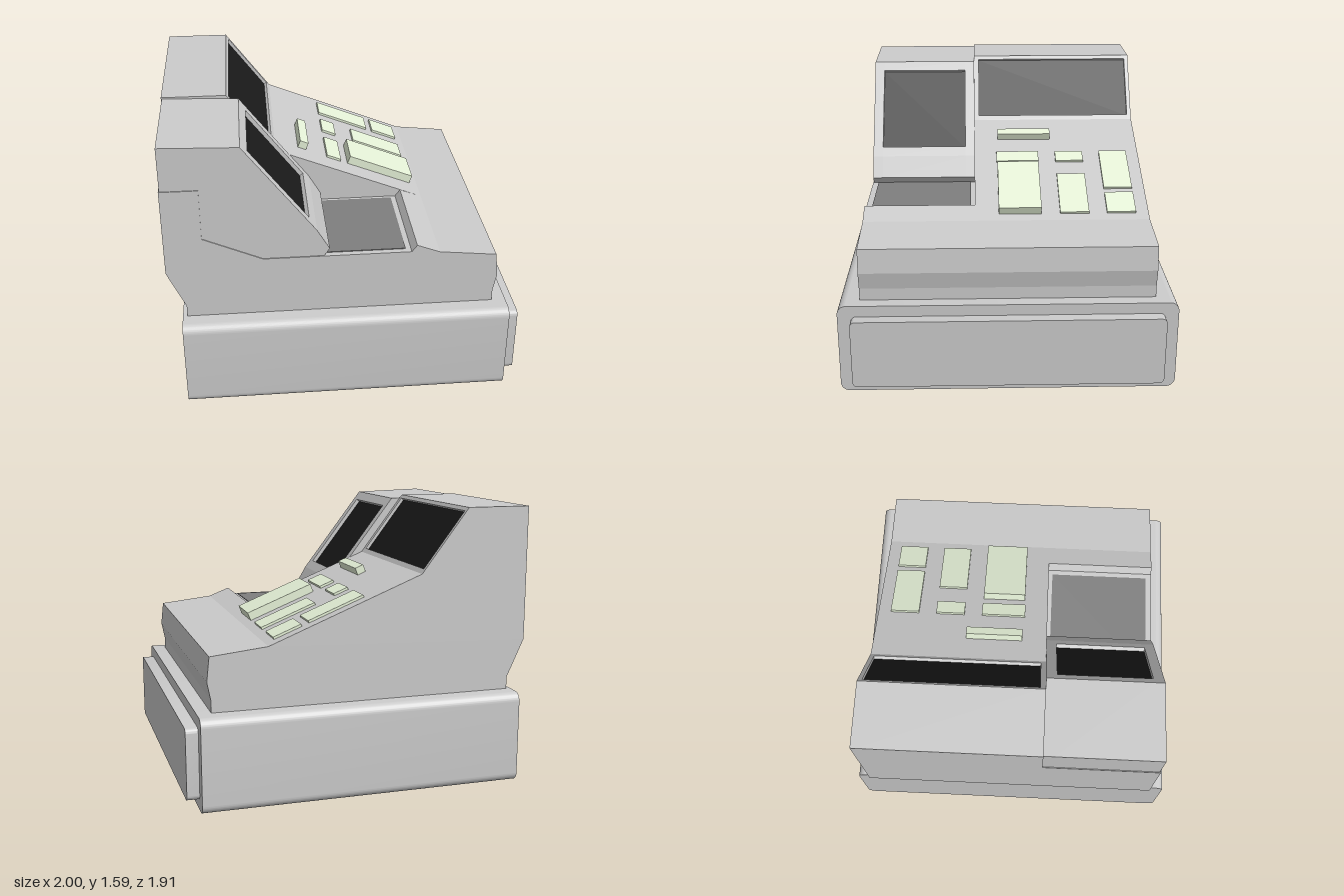
import * as THREE from 'three';
import { toCreasedNormals } from 'three/addons/utils/BufferGeometryUtils.js';

const grey = new THREE.MeshStandardMaterial({ color: 0xcccccc });
const black = new THREE.MeshStandardMaterial({ color: 0x1a1a1a });
const darkGrey = new THREE.MeshStandardMaterial({ color: 0x7f7f7f });
const green = new THREE.MeshStandardMaterial({ color: 0xe6f2d8 });

function add(parent, name, geometry, material = grey) {
  const mesh = new THREE.Mesh(geometry, material);
  mesh.name = name;
  parent.add(mesh);
  return mesh;
}

// Side profile (x, y) extruded from z0 to z1
function slab(points, z0, z1) {
  const shape = new THREE.Shape(points.map(([x, y]) => new THREE.Vector2(x, y)));
  return new THREE.ExtrudeGeometry(shape, { depth: z1 - z0, bevelEnabled: false }).translate(0, 0, z0);
}

// Block with rounded corners seen along x
function roundedBlock(x0, x1, y0, y1, halfZ, r) {
  const s = new THREE.Shape();
  s.moveTo(-halfZ + r, y0);
  s.lineTo(halfZ - r, y0);
  s.absarc(halfZ - r, y0 + r, r, -Math.PI / 2, 0);
  s.absarc(halfZ - r, y1 - r, r, 0, Math.PI / 2);
  s.absarc(-halfZ + r, y1 - r, r, Math.PI / 2, Math.PI);
  s.absarc(-halfZ + r, y0 + r, r, Math.PI, Math.PI * 1.5);
  const g = new THREE.ExtrudeGeometry(s, { depth: x1 - x0, bevelEnabled: false, curveSegments: 8 });
  return toCreasedNormals(g.rotateY(Math.PI / 2).translate(x0, 0, 0), 0.6);
}

// Housing with a screen sunk into the sloping edge that starts at profile[i]
function screenHousing(parent, name, profile, i, z0, z1, screen) {
  const group = new THREE.Group();
  group.name = name;
  parent.add(group);
  const a = new THREE.Vector2(...profile[i]);
  const b = new THREE.Vector2(...profile[i + 1]);
  const dir = b.clone().sub(a).normalize();
  const inward = new THREE.Vector2(dir.y, -dir.x).multiplyScalar(screen.depth);
  const at = (y) => a.clone().addScaledVector(dir, (y - a.y) / dir.y);
  const p = at(screen.top), q = at(screen.bottom);
  const pIn = p.clone().add(inward), qIn = q.clone().add(inward);
  const notched = [...profile];
  notched.splice(i + 1, 0, ...[p, pIn, qIn, q].map((v) => [v.x, v.y]));
  add(group, 'housingSideA', slab(profile, z0, screen.z0));
  add(group, 'housingMiddle', slab(notched, screen.z0, screen.z1));
  add(group, 'housingSideB', slab(profile, screen.z1, z1));
  // black glass on the floor of the recess
  const glass = add(group, 'screen',
    new THREE.BoxGeometry(p.distanceTo(q), 0.012, screen.z1 - screen.z0), black);
  glass.position.set((pIn.x + qIn.x) / 2, (pIn.y + qIn.y) / 2, (screen.z0 + screen.z1) / 2);
  glass.rotation.z = Math.atan2(dir.y, dir.x);
}

export function createModel() {
  const model = new THREE.Group();
  model.name = 'cashRegister';

  // Cash drawer base
  add(model, 'base', roundedBlock(-0.925, 0.93, 0, 0.53, 0.955, 0.05));
  add(model, 'drawerFront', roundedBlock(0.92, 1, 0.06, 0.465, 0.88, 0.03));

  // Outline shared by both halves of the body: front, bottom and back
  const shell = [[-1, 0.82], [-0.9, 0.6], [-0.9, 0.53], [0.85, 0.53], [0.85, 0.6],
    [0.87, 0.7], [0.855, 0.84], [0.53, 0.875]];

  // Keyboard half with the wide screen
  screenHousing(model, 'keyboardBody',
    [[-1, 1.593], [-0.63, 1.593], [-0.355, 1.23], ...[...shell].reverse()], 1, -0.835, 0.185,
    { top: 1.573, bottom: 1.255, z0: -0.81, z1: 0.155, depth: 0.025 });

  // Printer half: low body with a tray, and the housing above it
  add(model, 'printerBody', slab([...shell, [0.4, 0.925], [0.37, 0.885], [-0.46, 0.885],
    [-0.79, 1.03], [-0.79, 1.33], [-1, 1.33]], 0.185, 0.835));
  screenHousing(model, 'printerHousing',
    [[-0.995, 1.585], [-0.56, 1.572], [-0.16, 1.05], [-0.09, 0.93], [-0.12, 0.887], [-0.995, 0.86]],
    1, 0.185, 0.83, { top: 1.522, bottom: 1.1, z0: 0.245, z1: 0.77, depth: 0.03 });
  const tray = add(model, 'trayFloor', new THREE.BoxGeometry(0.62, 0.01, 0.59), darkGrey);
  tray.position.set(0.03, 0.884, 0.505);

  // Keys on the sloping panel: x from, x to, z from, z to, height
  const slope = Math.atan2(0.875 - 1.23, 0.53 + 0.355);
  const keys = [
    [-0.04, 0.28, -0.76, -0.59, 0.014], [0.32, 0.48, -0.76, -0.59, 0.014],
    [-0.04, 0.045, -0.485, -0.315, 0.014], [0.16, 0.48, -0.485, -0.315, 0.014],
    [-0.04, 0.045, -0.21, 0.05, 0.014], [0.09, 0.48, -0.205, 0.045, 0.05],
    [-0.215, -0.165, -0.29, 0.04, 0.045],
  ];
  const keyboard = new THREE.Group();
  keyboard.name = 'keys';
  model.add(keyboard);
  for (const [x0, x1, z0, z1, h] of keys) {
    const x = (x0 + x1) / 2;
    const geometry = new THREE.BoxGeometry((x1 - x0) / Math.cos(slope), h + 0.01, z1 - z0)
      .translate(0, (h - 0.01) / 2, 0);
    const key = add(keyboard, 'key', geometry, green);
    key.position.set(x, 1.23 + (x + 0.355) * Math.tan(slope), (z0 + z1) / 2);
    key.rotation.z = slope;
  }
  return model;
}
